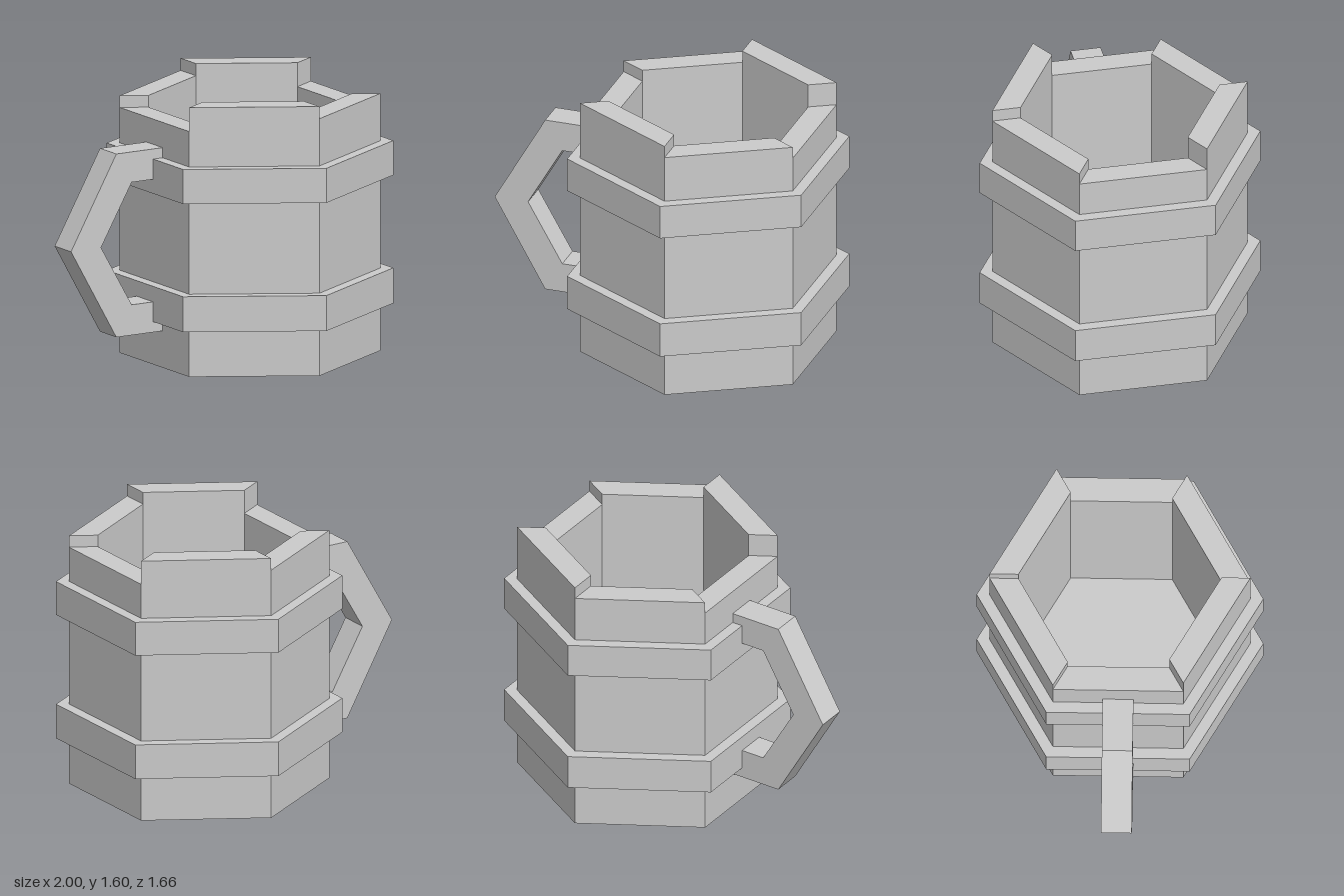
import * as THREE from 'three';

const SIDES = 6;
const CENTRE_X = 0.28;
const material = new THREE.MeshStandardMaterial({ color: 0xcccccc, flatShading: true });

// Point on a hexagon corner; corner 0 points to +z, corner 1 towards +x
function corner(k, radius, y) {
  const a = (k * Math.PI * 2) / SIDES;
  return [radius * Math.sin(a), y, radius * Math.cos(a)];
}

// Closed hexagonal ring whose wall segments may each have their own top height
function hexRing(outer, inner, bottom, tops) {
  const positions = [];
  const quad = (a, b, c, d) => positions.push(...a, ...b, ...c, ...a, ...c, ...d);
  for (let k = 0; k < SIDES; k++) {
    const n = k + 1;
    const top = tops[k % tops.length];
    const next = tops[n % tops.length];
    const o = (i, y) => corner(i, outer, y);
    const r = (i, y) => corner(i, inner, y);
    quad(o(k, bottom), o(n, bottom), o(n, top), o(k, top)); // outside
    quad(r(n, bottom), r(k, bottom), r(k, top), r(n, top)); // inside
    quad(o(k, top), o(n, top), r(n, top), r(k, top)); // rim
    quad(r(k, bottom), r(n, bottom), o(n, bottom), o(k, bottom)); // underside
    if (top !== next) quad(o(n, next), r(n, next), r(n, top), o(n, top)); // step in rim
  }
  const geometry = new THREE.BufferGeometry();
  geometry.setAttribute('position', new THREE.Float32BufferAttribute(positions, 3));
  geometry.computeVertexNormals();
  return geometry;
}

function addPart(group, name, geometry, x = 0, y = 0, z = 0) {
  const mesh = new THREE.Mesh(geometry, material);
  mesh.name = name;
  mesh.position.set(x, y, z);
  group.add(mesh);
}

export function createModel() {
  const mug = new THREE.Group();
  mug.name = 'hexagonalMug';

  // Staves with uneven heights, repeating on opposite sides
  addPart(mug, 'staveWall', hexRing(0.755, 0.588, 0, [1.525, 1.455, 1.597]), CENTRE_X);

  // Floor of the mug
  addPart(mug, 'floor', new THREE.CylinderGeometry(0.588, 0.588, 0.15, SIDES), CENTRE_X, 0.075);

  // Two bands around the staves
  addPart(mug, 'lowerBand', hexRing(0.83, 0.75, 0.28, [0.49]), CENTRE_X);
  addPart(mug, 'upperBand', hexRing(0.83, 0.75, 1.04, [1.245]), CENTRE_X);

  // Angular handle, open towards the mug
  const profile = [
    [-0.37, 1.305], [-0.69, 1.305], [-1, 0.762], [-0.69, 0.218], [-0.37, 0.218],
    [-0.37, 0.398], [-0.585, 0.398], [-0.795, 0.762], [-0.585, 1.125], [-0.37, 1.125],
  ];
  const shape = new THREE.Shape(profile.map(([x, y]) => new THREE.Vector2(x, y)));
  const width = 0.178;
  addPart(mug, 'handle', new THREE.ExtrudeGeometry(shape, { depth: width, bevelEnabled: false }), 0, 0, -width / 2);

  return mug;
}
